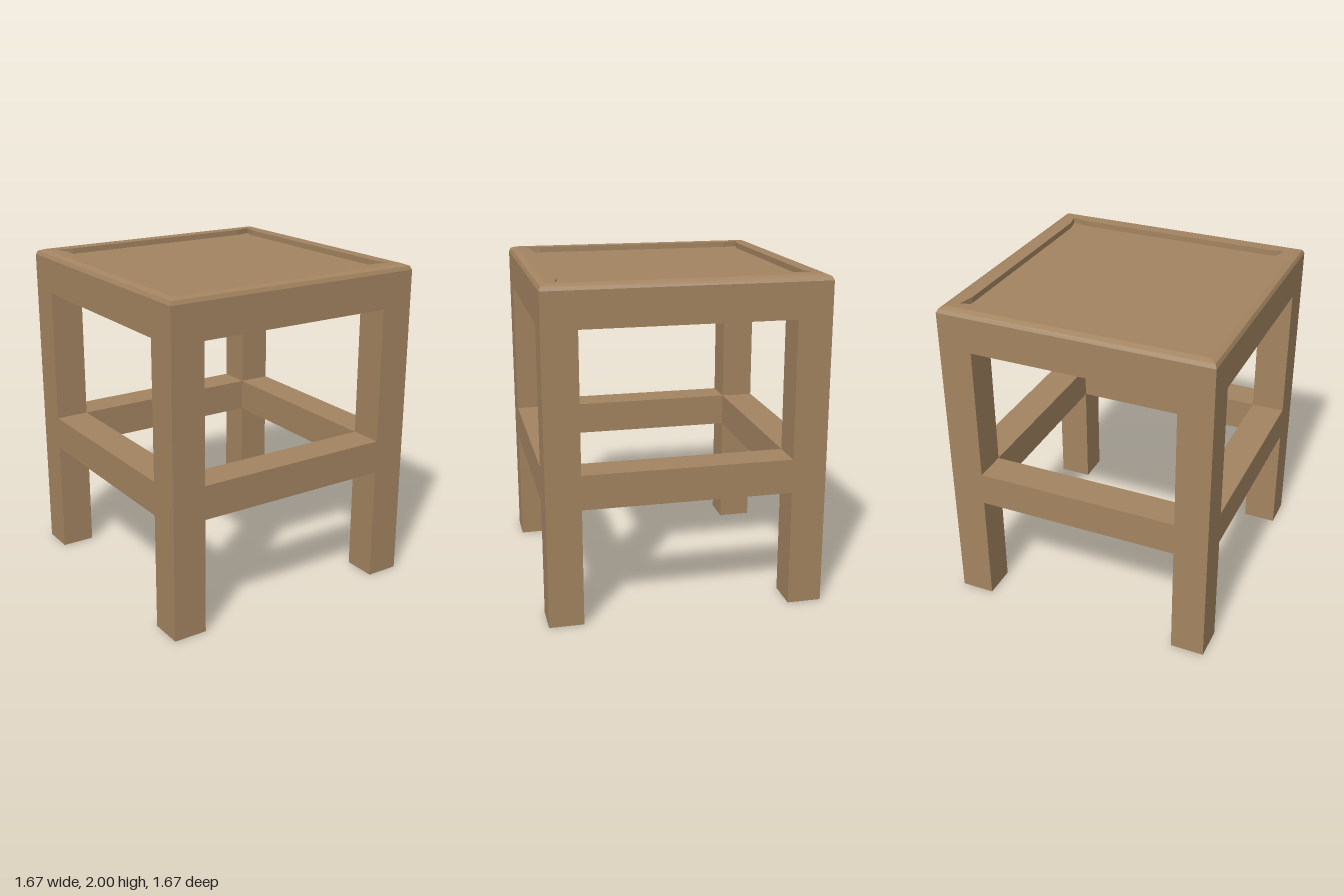
import * as THREE from 'three';

const HALF = 0.833;   // half width of the stool
const LEG = 0.207;    // thickness of legs and rails
const UNDER = 1.75;   // underside of the seat
const TOP = 2;
const RECESS = 0.035; // depth of the sunken panel

export function createModel() {
  const group = new THREE.Group();
  group.name = 'stool';
  const wood = new THREE.MeshStandardMaterial({ color: 0xa38460 });
  wood.flatShading = true;

  const add = (name, geometry, x = 0, y = 0, z = 0) => {
    const mesh = new THREE.Mesh(geometry, wood);
    mesh.name = name;
    mesh.position.set(x, y, z);
    group.add(mesh);
    return mesh;
  };

  // Four square legs and the four rails between them
  const c = HALF - LEG / 2;
  const span = 2 * (HALF - LEG);
  for (const s of [-1, 1]) {
    for (const t of [-1, 1]) {
      add(`${t > 0 ? 'front' : 'back'}${s > 0 ? 'Left' : 'Right'}Leg`,
        new THREE.BoxGeometry(LEG, UNDER, LEG), s * c, UNDER / 2, t * c);
    }
    add(s > 0 ? 'frontRail' : 'backRail', new THREE.BoxGeometry(span, LEG, LEG), 0, 0.815, s * c);
    add(s > 0 ? 'leftRail' : 'rightRail', new THREE.BoxGeometry(LEG, LEG, span), s * c, 0.815, 0);
  }

  // Seat block: a square turned profile with a two-step rounded top edge
  const profile = [[0, UNDER], [HALF, UNDER], [HALF, 1.965], [0.822, 1.988], [0.79, TOP]]
    .map(([r, y]) => new THREE.Vector2(r * Math.SQRT2, y));
  add('seatBlock', new THREE.LatheGeometry(profile, 4, Math.PI / 4));

  // Seat border around the recess, whose corners flare outwards
  const e = 0.79;
  const border = new THREE.Shape([[-e, -e], [e, -e], [e, e], [-e, e]].map(p => new THREE.Vector2(...p)));
  const outline = [];
  for (let i = 0; i < 4; i++) {
    for (const [x, y] of [[0.71, 0.635], [0.733, 0.733], [0.635, 0.71]]) {
      outline.push(new THREE.Vector2(x, y).rotateAround(new THREE.Vector2(), i * Math.PI / 2));
    }
  }
  border.holes.push(new THREE.Path(outline));
  const borderGeometry = new THREE.ExtrudeGeometry(border, { depth: RECESS, bevelEnabled: false });
  borderGeometry.rotateX(-Math.PI / 2);
  add('seatBorder', borderGeometry, 0, TOP - RECESS, 0);

  // Sunken seat panel
  const panel = new THREE.ShapeGeometry(new THREE.Shape(outline));
  panel.rotateX(-Math.PI / 2);
  add('seatPanel', panel, 0, TOP - RECESS, 0);

  return group;
}
